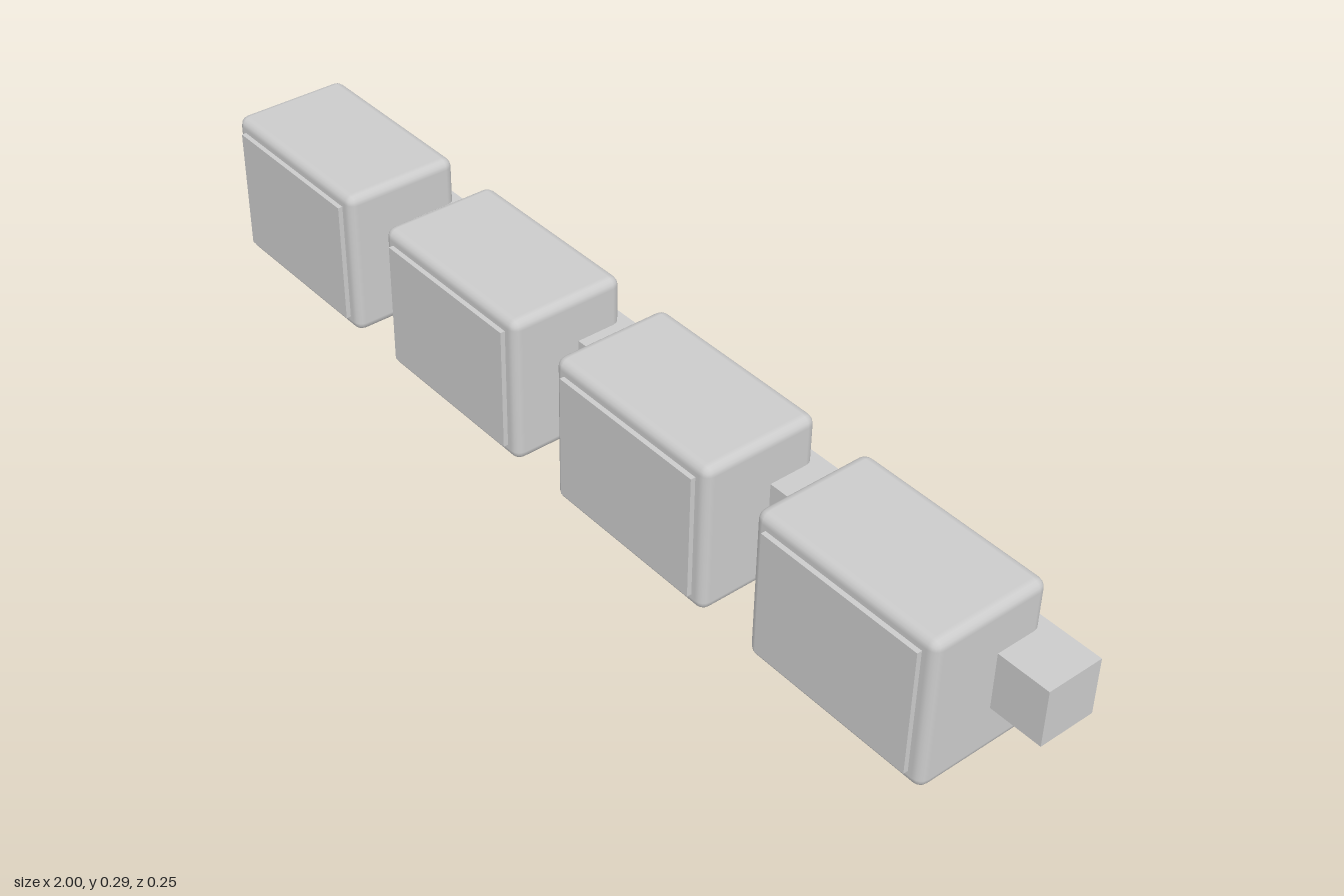
import * as THREE from 'three';
import { RoundedBoxGeometry } from 'three/addons/geometries/RoundedBoxGeometry.js';

const MID_Y = 0.145;

export function createModel() {
  const group = new THREE.Group();
  const material = new THREE.MeshStandardMaterial({ color: 0xcccccc });

  const add = (parent, name, geometry, x, y, z) => {
    const mesh = new THREE.Mesh(geometry, material);
    mesh.name = name;
    mesh.position.set(x, y, z);
    parent.add(mesh);
  };

  // Square rail running along the back
  add(group, 'rail', new THREE.BoxGeometry(2, 0.108, 0.108), 0, MID_Y, -0.071);

  // Four soft-edged blocks, each with a thin raised panel on its front
  const blockGeometry = new RoundedBoxGeometry(0.375, 0.29, 0.226, 2, 0.018);
  const panelGeometry = new THREE.BoxGeometry(0.323, 0.238, 0.02);
  for (let i = 0; i < 4; i++) {
    const unit = new THREE.Group();
    unit.name = `unit${i + 1}`;
    unit.position.set(-0.73 + i * 0.4813, MID_Y, 0);
    add(unit, 'block', blockGeometry, 0, 0, 0.003);
    add(unit, 'frontPanel', panelGeometry, 0, 0, 0.115);
    group.add(unit);
  }

  return group;
}
